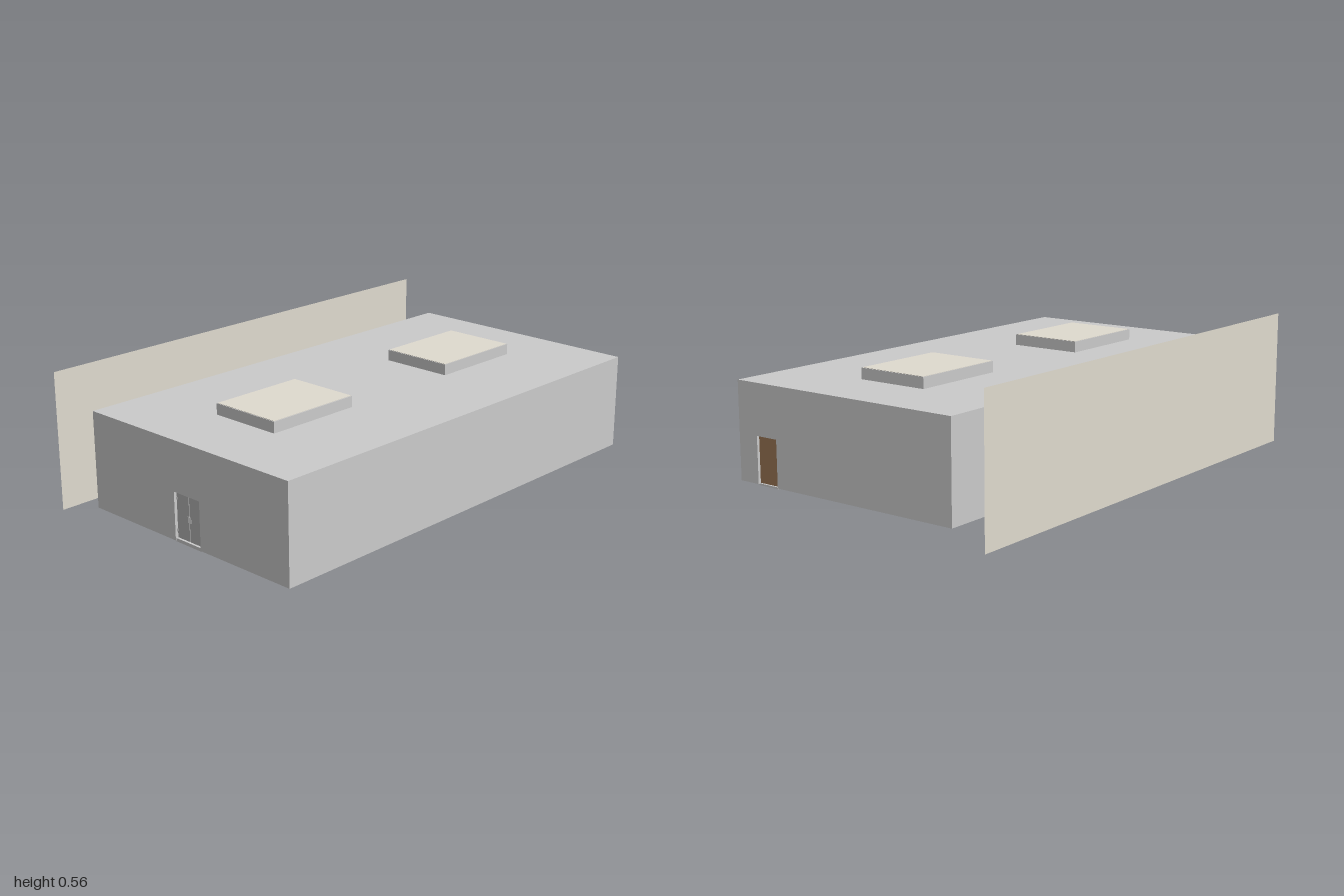
import * as THREE from 'three';

const mat = (color, side = THREE.FrontSide) => new THREE.MeshStandardMaterial({ color, side });

export function createModel() {
  const model = new THREE.Group();
  const grey = mat(0xcccccc), cream = mat(0xe0dbcf), doorGrey = mat(0xb4b4b4), brown = mat(0x9a7554);

  // Building extents and wall thickness
  const x0 = -0.43, x1 = 0.603, y0 = 0.047, y1 = 0.434, zEnd = 0.96, t = 0.015;
  const midX = (x0 + x1) / 2;

  // Box given by its minimum and maximum corners
  function block(name, a, b, material, parent = model) {
    const size = b.map((v, i) => v - a[i]);
    const mesh = new THREE.Mesh(new THREE.BoxGeometry(...size), material);
    mesh.position.set(...a.map((v, i) => (v + b[i]) / 2));
    mesh.name = name;
    parent.add(mesh);
    return mesh;
  }

  // End wall with a doorway notched out of its lower edge
  function endWall(name, d0, d1, top, z) {
    const s = new THREE.Shape();
    [[x0, y0], [d0, y0], [d0, top], [d1, top], [d1, y0], [x1, y0], [x1, y1], [x0, y1]]
      .forEach(([x, y], i) => (i ? s.lineTo(x, y) : s.moveTo(x, y)));
    s.closePath();
    const wall = new THREE.Mesh(new THREE.ExtrudeGeometry(s, { depth: t, bevelEnabled: false }), grey);
    wall.position.z = z;
    wall.name = name;
    model.add(wall);
  }
  endWall('frontWall', 0.02, 0.155, 0.236, zEnd - t);
  endWall('backWall', 0.408, 0.51, 0.232, -zEnd);

  // Side walls, roof and slightly inset floor
  block('rightWall', [x0, y0, -zEnd + t], [x0 + t, y1, zEnd - t], grey);
  block('leftWall', [x1 - t, y0, -zEnd + t], [x1, y1, zEnd - t], grey);
  block('roof', [x0 + t, y1 - t, -zEnd + t], [x1 - t, y1, zEnd - t], grey);
  block('floor', [x0 + t, y0 + 0.002, -zEnd + t], [x1 - t, y0 + 0.012, zEnd - t], grey);

  // Recessed double front door: two leaves with handles and hinges
  const front = new THREE.Group();
  front.name = 'frontDoor';
  model.add(front);
  const fz = zEnd - 0.011, fMid = 0.0875;
  block('doorBacking', [0.02, 0.047, fz - 0.006], [0.155, 0.236, fz - 0.003], mat(0x777777), front);
  for (const side of [-1, 1]) {
    const span = (a, b) => [fMid + side * a, fMid + side * b].sort((p, q) => p - q);
    const [l, r] = span(0.0015, 0.066);
    block('doorLeaf', [l, 0.057, fz - 0.003], [r, 0.235, fz], doorGrey, front);
    const [h0, h1] = span(0.006, 0.009);
    block('doorHandle', [h0, 0.13, fz], [h1, 0.155, fz + 0.003], doorGrey, front);
    for (const y of [0.08, 0.205]) {
      const [g0, g1] = span(0.063, 0.066);
      block('doorHinge', [g0, y, fz], [g1, y + 0.012, fz + 0.002], doorGrey, front);
    }
  }
  block('frontThreshold', [0.02, 0.043, zEnd - t], [0.155, 0.056, zEnd - 0.003], grey);

  // Recessed single back door
  block('backDoor', [0.408, 0.05, -zEnd + 0.011], [0.51, 0.232, -zEnd + t + 0.002], brown);
  block('backThreshold', [0.408, 0.043, -zEnd + 0.003], [0.51, 0.05, -zEnd + t], grey);

  // Two rooflights: grey curb with a pale panel on top
  for (const z of [-0.475, 0.47]) {
    const light = new THREE.Group();
    light.name = 'rooflight';
    block('curb', [-0.064, y1 - 0.005, z - 0.202], [0.24, 0.478, z + 0.202], grey, light);
    block('panel', [-0.061, 0.47, z - 0.199], [0.237, 0.4795, z + 0.199], cream, light);
    model.add(light);
  }

  // Free-standing thin screen alongside the building
  const screen = new THREE.Mesh(new THREE.PlaneGeometry(2, 0.557), mat(0xe0dbcf, THREE.DoubleSide));
  screen.rotation.y = Math.PI / 2;
  screen.position.set(-0.603, 0.2785, 0);
  screen.name = 'sideScreen';
  model.add(screen);

  return model;
}
